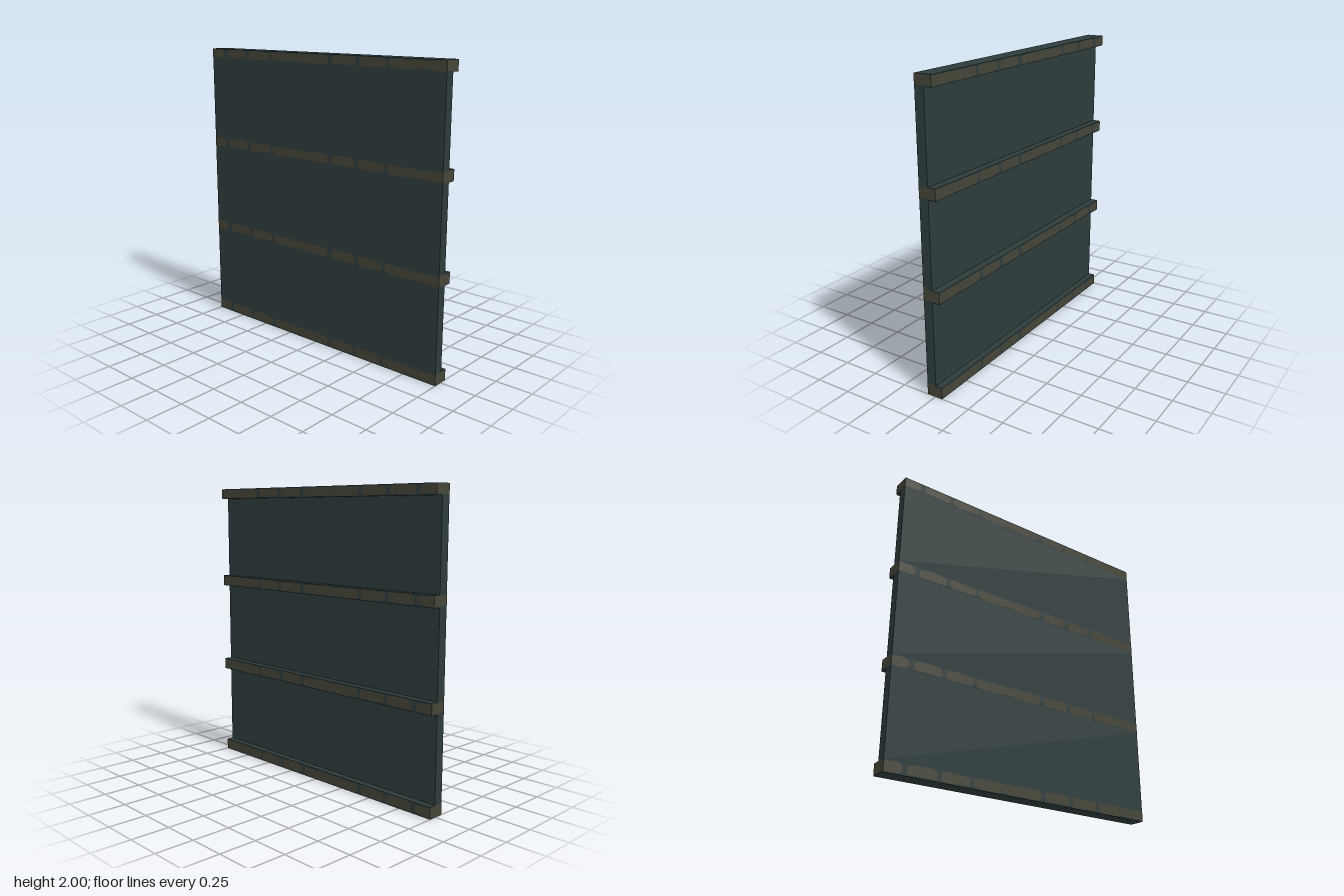
import * as THREE from 'three';

const slate = new THREE.MeshStandardMaterial({ color: 0x2e3c3c });
slate.name = 'dark slate';
const rust = new THREE.MeshStandardMaterial({ color: 0x454537 });
rust.name = 'worn brown';

const BACK = -0.06, PANEL_FRONT = 0.005, HALF = 0.999, LIFT = 0.001;

// bottom, top and front of each rail
const RAILS = [
  [0, 0.076, 0.052],
  [0.643, 0.72, 0.058],
  [1.285, 1.36, 0.058],
  [1.93, 2, 0.058],
];

// z extents of the worn patches, which repeat about every unit
const BLOBS = [[0.59, 0.82], [0.365, 0.57], [0.14, 0.34], [-0.19, 0.11]];
const PERIOD = 0.99;

function addMesh(group, name, geometry, material) {
  const mesh = new THREE.Mesh(geometry, material);
  mesh.name = name;
  group.add(mesh);
  return mesh;
}

function addBox(group, name, x0, x1, y0, y1) {
  const mesh = addMesh(group, name, new THREE.BoxGeometry(x1 - x0, y1 - y0, 2 * HALF), slate);
  mesh.position.set((x0 + x1) / 2, (y0 + y1) / 2, 0);
}

// Wobbly rounded outline, clipped to the rail's length; side is the x direction it faces
function patchShape(z0, z1, y0, y1, seed, side) {
  const points = [], steps = 28;
  const round = (v) => Math.sign(v) * Math.pow(Math.abs(v), 0.45);
  for (let i = 0; i < steps; i++) {
    const a = (i / steps) * Math.PI * 2;
    const wobble = 0.91 + 0.09 * Math.sin(a * 3 + seed * 1.7);
    const z = (z0 + z1) / 2 + side * -round(Math.cos(a)) * (z1 - z0) / 2;
    const y = (y0 + y1) / 2 + round(Math.sin(a)) * wobble * (y1 - y0) / 2;
    points.push(new THREE.Vector2(-side * THREE.MathUtils.clamp(z, -HALF, HALF), y));
  }
  return new THREE.Shape(points);
}

function addPatches(group, x, y0, y1, side) {
  const shapes = [];
  for (let k = -2; k <= 1; k++) {
    BLOBS.forEach(([z0, z1], i) => {
      const a = z0 + k * PERIOD, b = z1 + k * PERIOD;
      if (a < HALF && b > -HALF) shapes.push(patchShape(a, b, y0 + 0.004, y1 - 0.003, i, side));
    });
  }
  const geometry = new THREE.ShapeGeometry(shapes);
  geometry.rotateY(side * Math.PI / 2);
  geometry.translate(x + side * LIFT, 0, 0);
  addMesh(group, side > 0 ? 'frontPatches' : 'backPatches', geometry, rust);
}

export function createModel() {
  const model = new THREE.Group();
  model.name = 'wallPanel';

  // Flat panels between the rails
  for (let i = 0; i < RAILS.length - 1; i++) {
    addBox(model, 'panel', BACK, PANEL_FRONT, RAILS[i][1], RAILS[i + 1][0]);
  }

  for (const [y0, y1, front] of RAILS) {
    const rail = new THREE.Group();
    rail.name = 'rail';
    model.add(rail);
    addBox(rail, 'railBar', BACK, front, y0, y1);

    // Worn paint on both long faces
    addPatches(rail, front, y0, y1, 1);
    addPatches(rail, BACK, y0, y1, -1);

    // Worn end caps
    for (const end of [1, -1]) {
      const cap = addMesh(rail, 'endCap', new THREE.PlaneGeometry(front - BACK, y1 - y0 - 0.008), rust);
      cap.position.set((front + BACK) / 2, (y0 + y1) / 2 + 0.003, end * (HALF + LIFT));
      if (end < 0) cap.rotation.y = Math.PI;
    }
  }
  return model;
}
